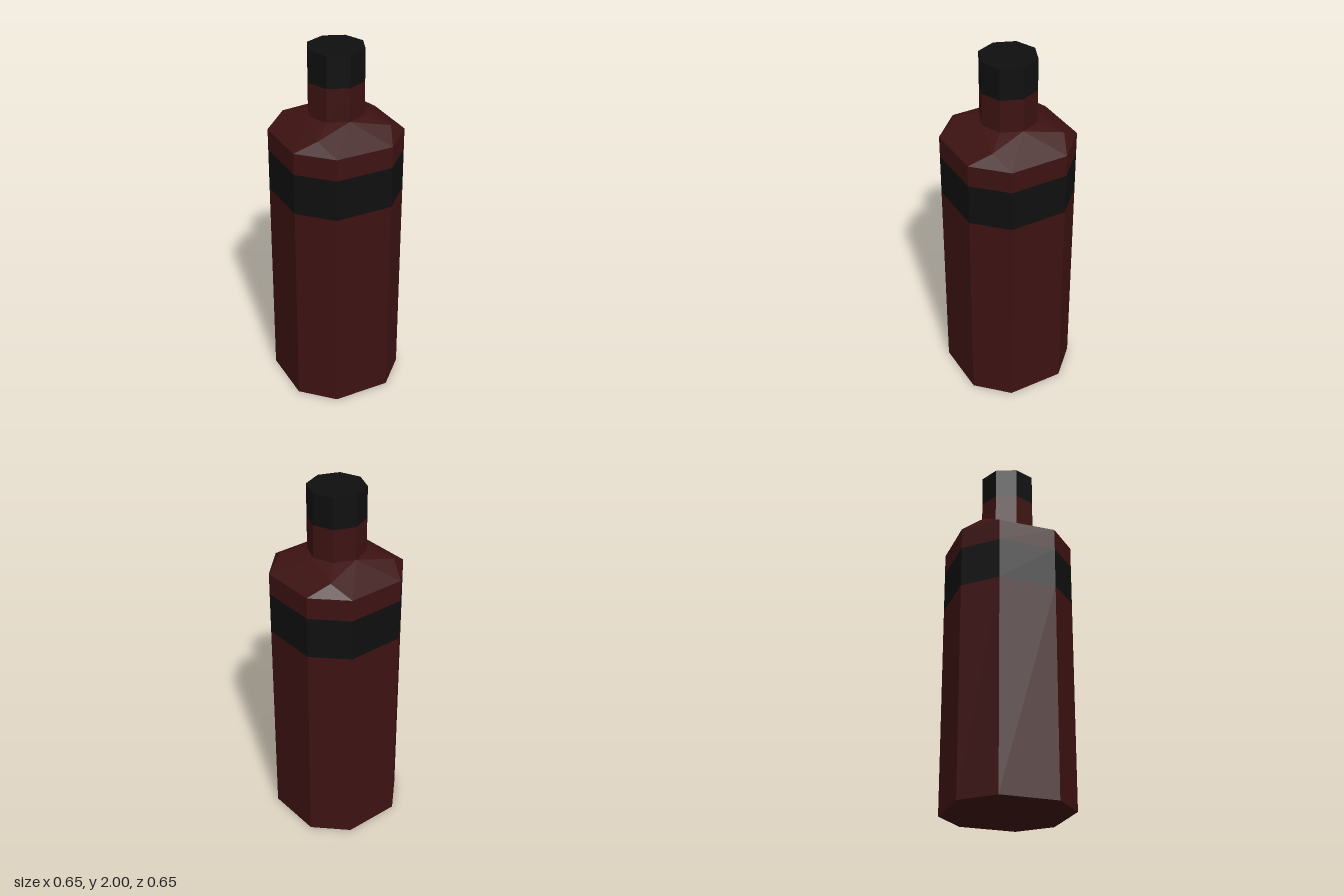
import * as THREE from 'three';

const glass = new THREE.MeshStandardMaterial({ color: 0x3d1212, flatShading: true });
const dark = new THREE.MeshStandardMaterial({ color: 0x0f0f0f, flatShading: true });

// Turn a point about the vertical axis by k quarter turns
const turn = ([x, y, z], k) =>
  new THREE.Vector3(x, y, z).applyAxisAngle(new THREE.Vector3(0, 1, 0), k * Math.PI / 2);

// Outlines as eight [x, z] corners, each made from one side turned four times
const outline = (side) => [0, 1, 2, 3].flatMap((k) =>
  side.map(([x, z]) => turn([x, 0, z], k)).map((p) => [p.x, p.z]));
const bodyOutline = outline([[-0.16, 0.323], [0.16, 0.323]]);
const neckOutline = outline([[0, 0.155], [0.11, 0.11]]);

function toMesh(name, points, material) {
  const geometry = new THREE.BufferGeometry().setFromPoints(points);
  geometry.computeVertexNormals();
  const mesh = new THREE.Mesh(geometry, material);
  mesh.name = name;
  return mesh;
}

// Straight prism wall with optional end faces
function prism(name, ring, y0, y1, material, { bottom = false, top = false } = {}) {
  const points = [];
  ring.forEach(([x, z], i) => {
    const [nx, nz] = ring[(i + 1) % ring.length];
    const a = new THREE.Vector3(x, y0, z), b = new THREE.Vector3(nx, y0, nz);
    const c = new THREE.Vector3(nx, y1, nz), d = new THREE.Vector3(x, y1, z);
    points.push(a, b, c, a, c, d);
    if (bottom) points.push(new THREE.Vector3(0, y0, 0), b, a);
    if (top) points.push(new THREE.Vector3(0, y1, 0), d, c);
  });
  return toMesh(name, points, material);
}

// Four sloping faces with a steep triangle at each corner
function shoulder(y0, yCorner, y1) {
  const points = [];
  const slope = [
    [0, y1, 0.155], [-0.11, y1, 0.11], [-0.21, yCorner, 0.21], [-0.16, y0, 0.323],
    [0.16, y0, 0.323], [0.21, yCorner, 0.21], [0.11, y1, 0.11],
  ];
  for (let k = 0; k < 4; k++) {
    const p = slope.map((v) => turn(v, k));
    for (let i = 1; i < p.length - 1; i++) points.push(p[0], p[i], p[i + 1]);
    points.push(p[4], turn(slope[3], k + 1), p[5]);
  }
  return toMesh('shoulder', points, glass);
}

export function createModel() {
  const bottle = new THREE.Group();
  bottle.name = 'bottle';
  bottle.add(
    prism('lowerBody', bodyOutline, 0, 1.185, glass, { bottom: true }),
    prism('labelBand', bodyOutline, 1.185, 1.415, dark),
    prism('upperBody', bodyOutline, 1.415, 1.535, glass),
    shoulder(1.535, 1.6, 1.64),
    prism('neck', neckOutline, 1.64, 1.825, glass),
    prism('cap', neckOutline, 1.825, 2, dark, { top: true }),
  );
  return bottle;
}
